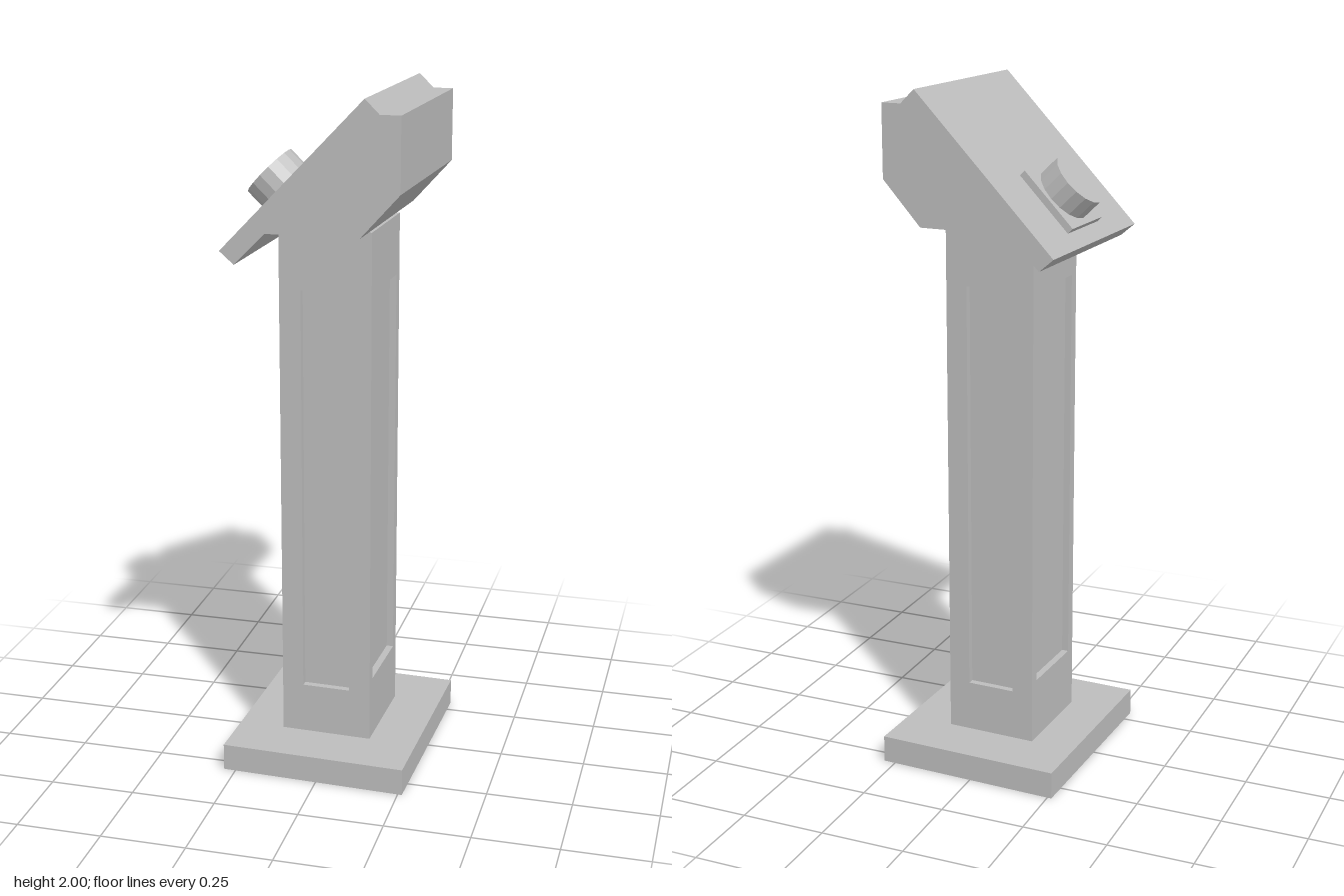
import * as THREE from 'three';

export function createModel() {
  const grey = new THREE.MeshStandardMaterial({ color: 0xbcbcbc, flatShading: true });
  grey.name = 'plain grey';

  const model = new THREE.Group();
  model.name = 'consolePedestal';
  model.rotation.y = -0.0365; // the whole pedestal stands slightly turned

  const add = (parent, name, geometry, x = 0, y = 0, z = 0) => {
    const mesh = new THREE.Mesh(geometry, grey);
    mesh.name = name;
    mesh.position.set(x, y, z);
    parent.add(mesh);
    return mesh;
  };
  const extrude = (shape, depth) =>
    new THREE.ExtrudeGeometry(shape, { depth, bevelEnabled: false });
  const polygon = (points, Type = THREE.Shape) =>
    new Type(points.map(([x, y]) => new THREE.Vector2(x, y)));
  const rect = (w, y0, y1, Type) =>
    polygon([[-w / 2, y0], [w / 2, y0], [w / 2, y1], [-w / 2, y1]], Type);

  // Foot plate
  add(model, 'base', new THREE.BoxGeometry(0.548, 0.08, 0.617), 0, 0.04, 0);

  // Column: solid core with a panel frame on each side
  const W = 0.27, D = 0.298, Y0 = 0.08, Y1 = 1.618, R = 0.02;
  const column = new THREE.Group();
  column.name = 'column';
  column.position.x = -0.004;
  model.add(column);
  add(column, 'columnCore',
    new THREE.BoxGeometry(W - 2 * R, Y1 - Y0, D - 2 * R), 0, (Y0 + Y1) / 2, 0);

  const frame = (width, holeWidth, holeBottom) => {
    const shape = rect(width, Y0, Y1);
    shape.holes.push(rect(holeWidth, holeBottom, 1.443, THREE.Path));
    return extrude(shape, R);
  };
  const wideFrame = frame(W, 0.143, 0.23);
  const sideFrame = frame(D - 2 * R, 0.235, 0.265);
  for (const [name, geometry, offset, turn] of [
    ['frontFrame', wideFrame, D / 2 - R, 0],
    ['leftFrame', sideFrame, W / 2 - R, Math.PI / 2],
    ['backFrame', wideFrame, D / 2 - R, Math.PI],
    ['rightFrame', sideFrame, W / 2 - R, -Math.PI / 2],
  ]) {
    const mesh = add(column, name, geometry, Math.sin(turn) * offset, 0, Math.cos(turn) * offset);
    mesh.rotation.y = turn;
  }

  // Sloped head, extruded from its side profile
  const profile = polygon([
    [-0.262, 1.573], [-0.22, 1.537], [-0.13, 1.628], [0.135, 1.628],
    [0.248, 1.753], [0.248, 1.96], [0.19, 1.96], [0.149, 2.0],
  ]);
  add(model, 'head', extrude(profile, 0.584), 0, 0, -0.292);

  // Button on its square plate, lying on the slope
  const slope = Math.atan2(0.427, 0.411);
  const button = new THREE.Group();
  button.name = 'buttonAssembly';
  button.position.set(-0.154, 1.573 + 0.108 * Math.tan(slope), -0.011);
  button.rotation.z = slope;
  model.add(button);
  add(button, 'buttonPlate', new THREE.BoxGeometry(0.208, 0.02, 0.209), 0, 0.01, 0);
  add(button, 'button', new THREE.CylinderGeometry(0.086, 0.086, 0.068, 16), 0, 0.054, -0.002);

  return model;
}
